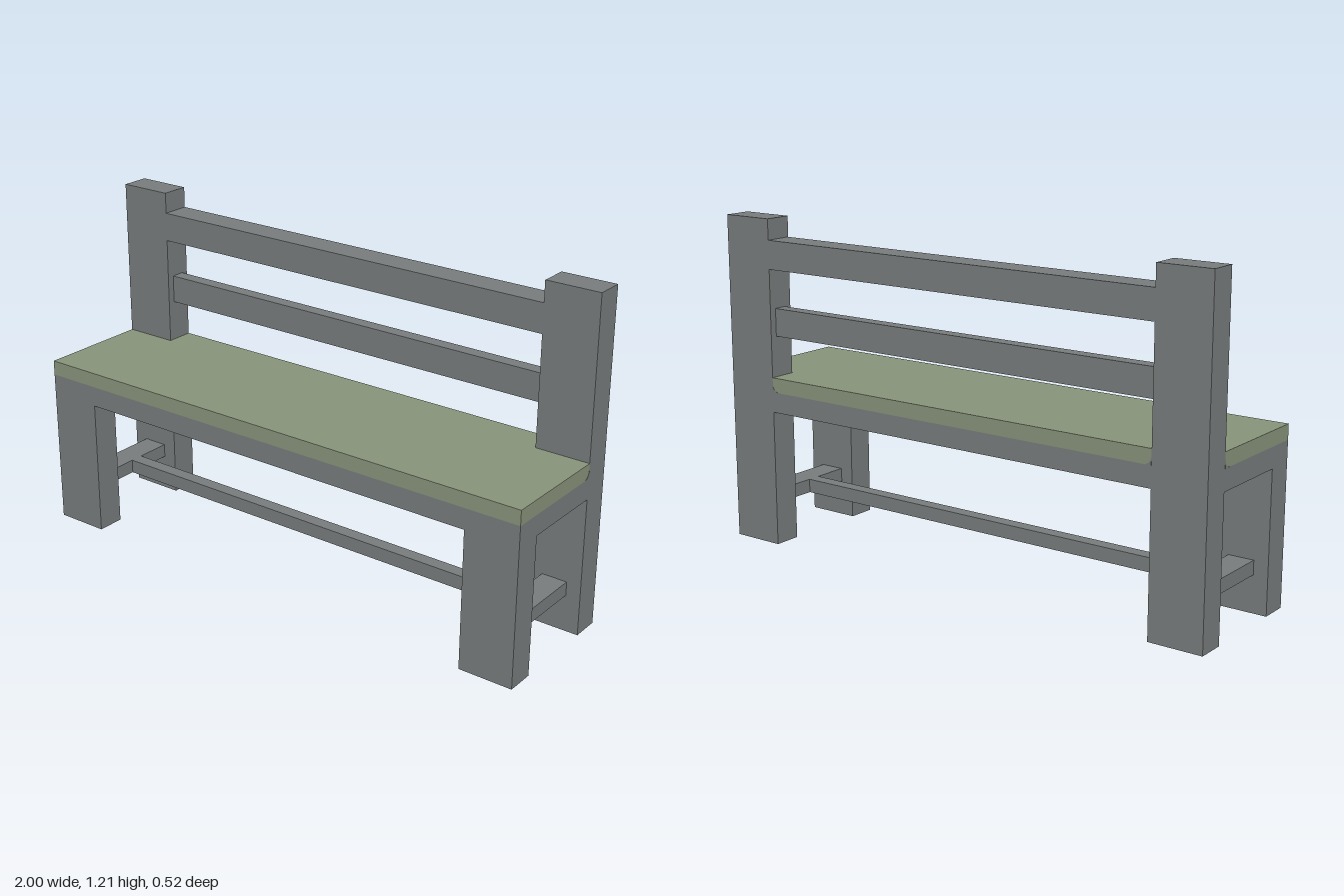
import * as THREE from 'three';

export function createModel() {
  const group = new THREE.Group();
  const grey = new THREE.MeshStandardMaterial({ color: 0x787c7c });
  grey.name = 'grey frame';
  const green = new THREE.MeshStandardMaterial({ color: 0x88937a });
  green.name = 'green seat';

  const add = (name, geometry, material) => {
    const mesh = new THREE.Mesh(geometry, material);
    mesh.name = name;
    group.add(mesh);
    return mesh;
  };
  // Box given by its extents on each axis
  const box = (name, [x0, x1], [y0, y1], [z0, z1]) => {
    const mesh = add(name, new THREE.BoxGeometry(x1 - x0, y1 - y0, z1 - z0), grey);
    mesh.position.set((x0 + x1) / 2, (y0 + y1) / 2, (z0 + z1) / 2);
    return mesh;
  };

  const D = 0.261; // half depth
  const P = 0.158; // inner face of the legs in z
  const X = 0.8; // inner face of the legs in x
  const seatBottom = 0.505, seatMid = 0.58, seatTop = 0.634;

  // Seat plan, notched around the back posts
  const plan = new THREE.Shape([
    [-1, -D], [1, -D], [1, P], [X, P], [X, D], [-X, D], [-X, P], [-1, P],
  ].map(([x, y]) => new THREE.Vector2(x, y)));
  const slab = (name, y0, y1, material) => {
    const geometry = new THREE.ExtrudeGeometry(plan, { depth: y1 - y0, bevelEnabled: false });
    geometry.rotateX(-Math.PI / 2);
    add(name, geometry, material).position.y = y0;
  };
  slab('seatFrame', seatBottom, seatMid, grey);
  slab('seatTop', seatMid, seatTop, green);

  // Small curved corner where the frame colour meets each post
  const corner = new THREE.Shape();
  corner.moveTo(0, 0);
  corner.lineTo(0.03, 0);
  corner.quadraticCurveTo(0.003, 0.002, 0, 0.028);
  corner.closePath();
  const cornerGeometry = new THREE.ExtrudeGeometry(corner, { depth: 0.002, bevelEnabled: false, curveSegments: 6 });
  cornerGeometry.translate(0, 0, -0.001);

  for (const side of [-1, 1]) {
    const span = (a, b) => (side > 0 ? [a, b] : [-b, -a]);
    const label = side > 0 ? 'left' : 'right';
    box(label + 'FrontLeg', span(X, 1), [0, seatBottom], [P, D]);
    box(label + 'BackPost', span(X, 1), [0, 1.211], [-D, -P]);
    box(label + 'SideStretcher', span(0.853, 0.947), [0.134, 0.185], [-P, P]);

    const sideCorner = add(label + 'SideCorner', cornerGeometry, grey);
    sideCorner.rotation.y = -Math.PI / 2;
    sideCorner.position.set(side, seatMid, -P);
    // Rear corners face away from the posts, towards the middle
    const rearCorner = add(label + 'RearCorner', cornerGeometry, grey);
    rearCorner.rotation.y = side > 0 ? Math.PI : 0;
    rearCorner.position.set(side * X, seatMid, -D);
  }

  // Long rails
  box('longStretcher', [-0.853, 0.853], [0.134, 0.185], [-0.025, 0.025]);
  box('topBackRail', [-X, X], [1.03, 1.135], [-D, -P]);
  box('middleBackRail', [-X, X], [0.783, 0.885], [-0.235, -0.185]);

  return group;
}
